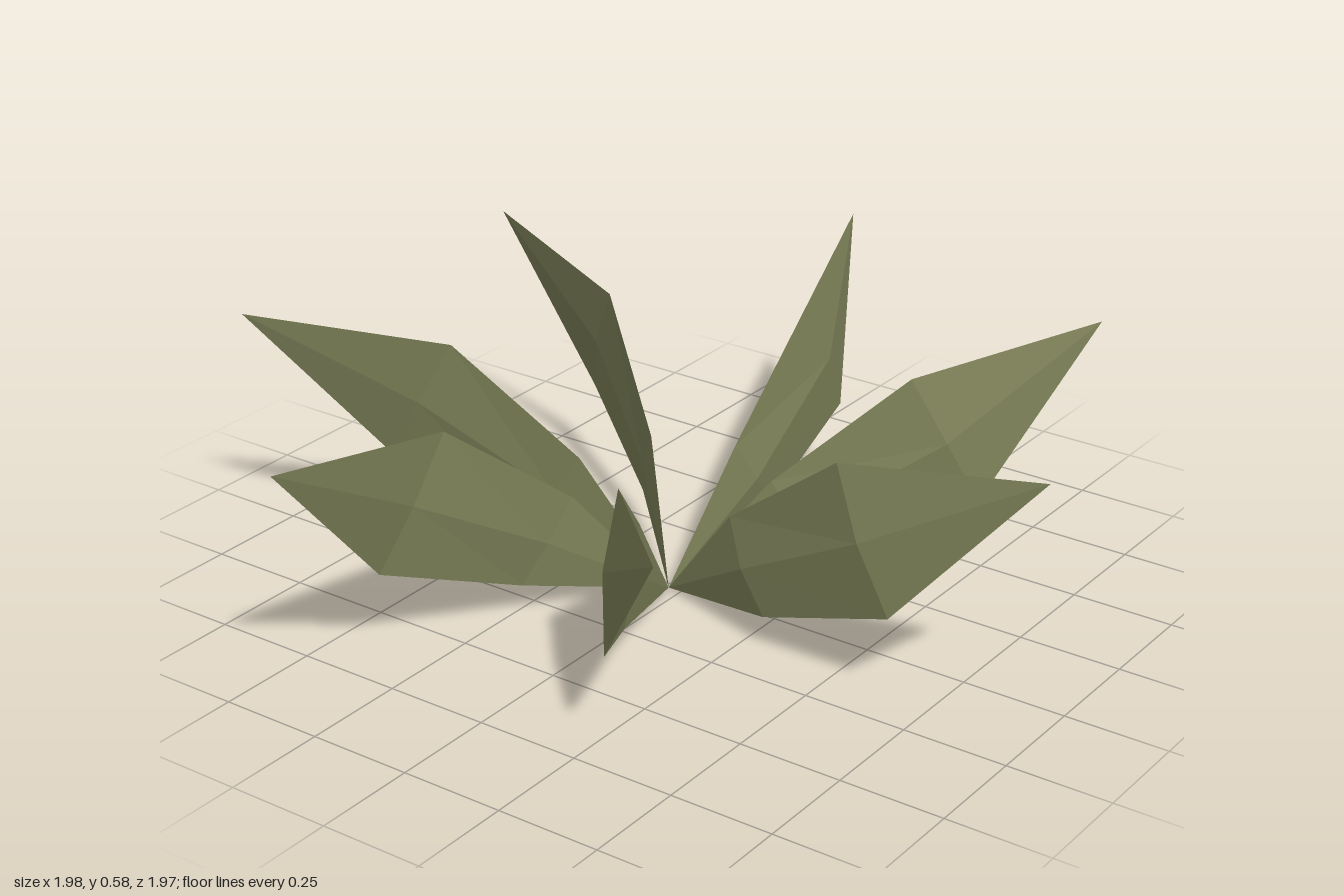
import * as THREE from 'three';

const LEAVES = 7;

// Point from radius, sideways swing in degrees, height
const polar = ([r, deg, y]) => {
  const a = THREE.MathUtils.degToRad(deg);
  return [r * Math.cos(a), y, r * Math.sin(a)];
};

// Thin faceted leaf: base point, two diamond sections, tip point
function leafGeometry() {
  const points = [
    [0, 0, 0],
    // each section: upper edge, outer ridge, lower edge, inner ridge
    [0.235, 14.3, 0.28], [0.3, 17.6, 0.18], [0.36, 14.2, 0.08], [0.3, 12.2, 0.18],
    [0.55, 9.3, 0.52], [0.635, 10.9, 0.365], [0.716, 9.2, 0.21], [0.635, 7.8, 0.365],
    [1.02, 0, 0.585],
  ];
  const index = [];
  for (let j = 0; j < 4; j++) {
    const k = (j + 1) % 4;
    const a = 1 + j, b = 1 + k, c = 5 + k, d = 5 + j;
    index.push(0, b, a, a, b, c, a, c, d, d, c, 9);
  }
  const indexed = new THREE.BufferGeometry();
  indexed.setAttribute('position', new THREE.Float32BufferAttribute(points.flatMap(polar), 3));
  indexed.setIndex(index);
  const geometry = indexed.toNonIndexed();
  geometry.computeVertexNormals();
  return geometry;
}

export function createModel() {
  const model = new THREE.Group();
  model.name = 'plant';
  const olive = new THREE.MeshStandardMaterial({ color: 0x7d8158, flatShading: true, side: THREE.DoubleSide });
  olive.name = 'olive green';

  // Ring of identical leaves around the root
  const geometry = leafGeometry();
  for (let i = 0; i < LEAVES; i++) {
    const leaf = new THREE.Mesh(geometry, olive);
    leaf.name = `leaf${i + 1}`;
    leaf.position.set(-0.018, 0, -0.035);
    leaf.rotation.y = THREE.MathUtils.degToRad(8.6) + (i * Math.PI * 2) / LEAVES;
    model.add(leaf);
  }
  return model;
}
